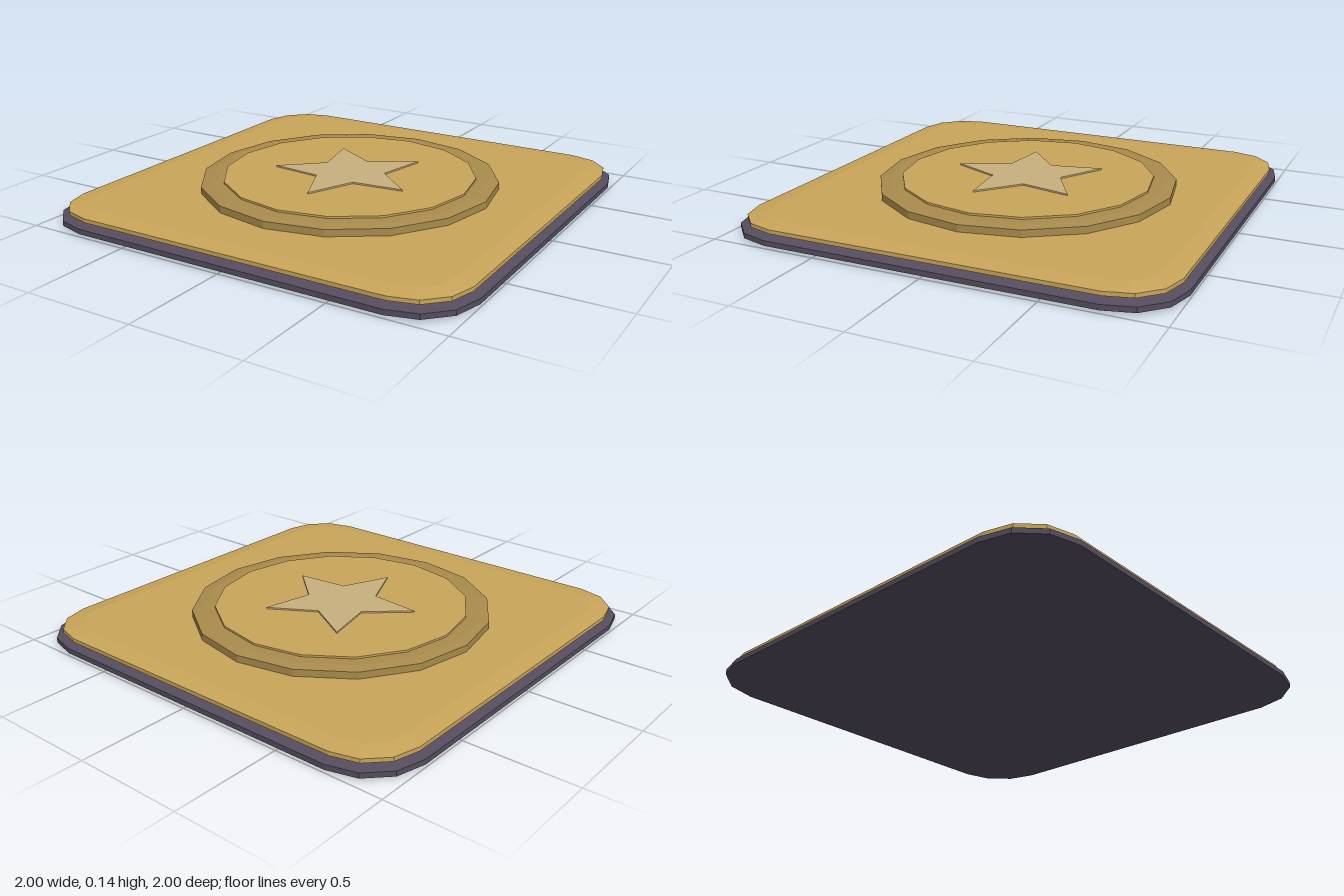
import * as THREE from 'three';

const mat = (name, color) => {
  const m = new THREE.MeshStandardMaterial({ color, flatShading: true });
  m.name = name;
  return m;
};

// square outline with three-segment rounded corners, counter-clockwise from above
function roundedSquare(half, radius) {
  const pts = [];
  for (let q = 0; q < 4; q++) {
    for (let s = 0; s <= 3; s++) {
      const a = (q + s / 3) * Math.PI / 2;
      const mid = (q + 0.5) * Math.PI / 2;
      const c = (half - radius) * Math.SQRT2;
      pts.push([c * Math.cos(mid) + radius * Math.cos(a), -c * Math.sin(mid) - radius * Math.sin(a)]);
    }
  }
  return pts;
}

// closed solid through stacked convex outlines, lowest first
function loft(sections) {
  const n = sections[0].outline.length, last = sections.length - 1;
  const pos = [], idx = [];
  for (const { outline, y } of sections) for (const [x, z] of outline) pos.push(x, y, z);
  const low = pos.length / 3, high = low + 1;
  pos.push(0, sections[0].y, 0, 0, sections[last].y, 0);
  for (let j = 0; j < n; j++) {
    const k = (j + 1) % n;
    for (let i = 0; i < last; i++) {
      const a = i * n + j, b = i * n + k;
      idx.push(a, b, b + n, a, b + n, a + n);
    }
    idx.push(low, k, j, high, last * n + j, last * n + k);
  }
  const g = new THREE.BufferGeometry();
  g.setAttribute('position', new THREE.Float32BufferAttribute(pos, 3));
  g.setIndex(idx);
  const flat = g.toNonIndexed();
  flat.computeVertexNormals();
  return flat;
}

// bevelled slab: profile rows are [half width, corner radius, height]
const slab = rows => loft(rows.map(([h, r, y]) => ({ outline: roundedSquare(h, r), y })));

// sixteen-sided solid: profile rows are [radius, height]
const round = rows => loft(rows.map(([r, y]) => ({
  y,
  outline: Array.from({ length: 16 }, (_, i) => {
    const a = i * Math.PI / 8;
    return [r * Math.cos(a), -r * Math.sin(a)];
  }),
})));

export function createModel() {
  const group = new THREE.Group();
  const gold = mat('gold', 0xc9a559);
  const bronze = mat('darkGold', 0xa98b4d);
  const pale = mat('paleGold', 0xc8b07e);
  const dark = mat('darkPurpleGrey', 0x554d5e);

  const add = (name, geometry, material) => {
    const mesh = new THREE.Mesh(geometry, material);
    mesh.name = name;
    group.add(mesh);
    return mesh;
  };

  // dark base and gold plate
  add('base', slab([[0.92, 0.2, 0], [1, 0.26, 0.013], [1, 0.26, 0.036], [0.92, 0.2, 0.05]]), dark);
  add('plate', slab([[0.89, 0.17, 0.046], [0.97, 0.235, 0.056], [0.97, 0.235, 0.074], [0.89, 0.17, 0.085]]), gold);

  // raised medallion
  add('medallionRim', round([[0.69, 0.08], [0.69, 0.117], [0.64, 0.124]]), bronze);
  add('medallionFace', round([[0.585, 0.12], [0.585, 0.133]]), gold);

  // five-pointed star with one tip towards the front
  const star = new THREE.Shape(Array.from({ length: 10 }, (_, i) => {
    const a = -Math.PI / 2 + i * Math.PI / 5, r = i % 2 ? 0.165 : 0.355;
    return new THREE.Vector2(r * Math.cos(a), r * Math.sin(a));
  }));
  const starGeo = new THREE.ExtrudeGeometry(star, { depth: 0.009, bevelEnabled: false });
  starGeo.rotateX(-Math.PI / 2);
  add('star', starGeo, pale).position.y = 0.131;

  return group;
}
